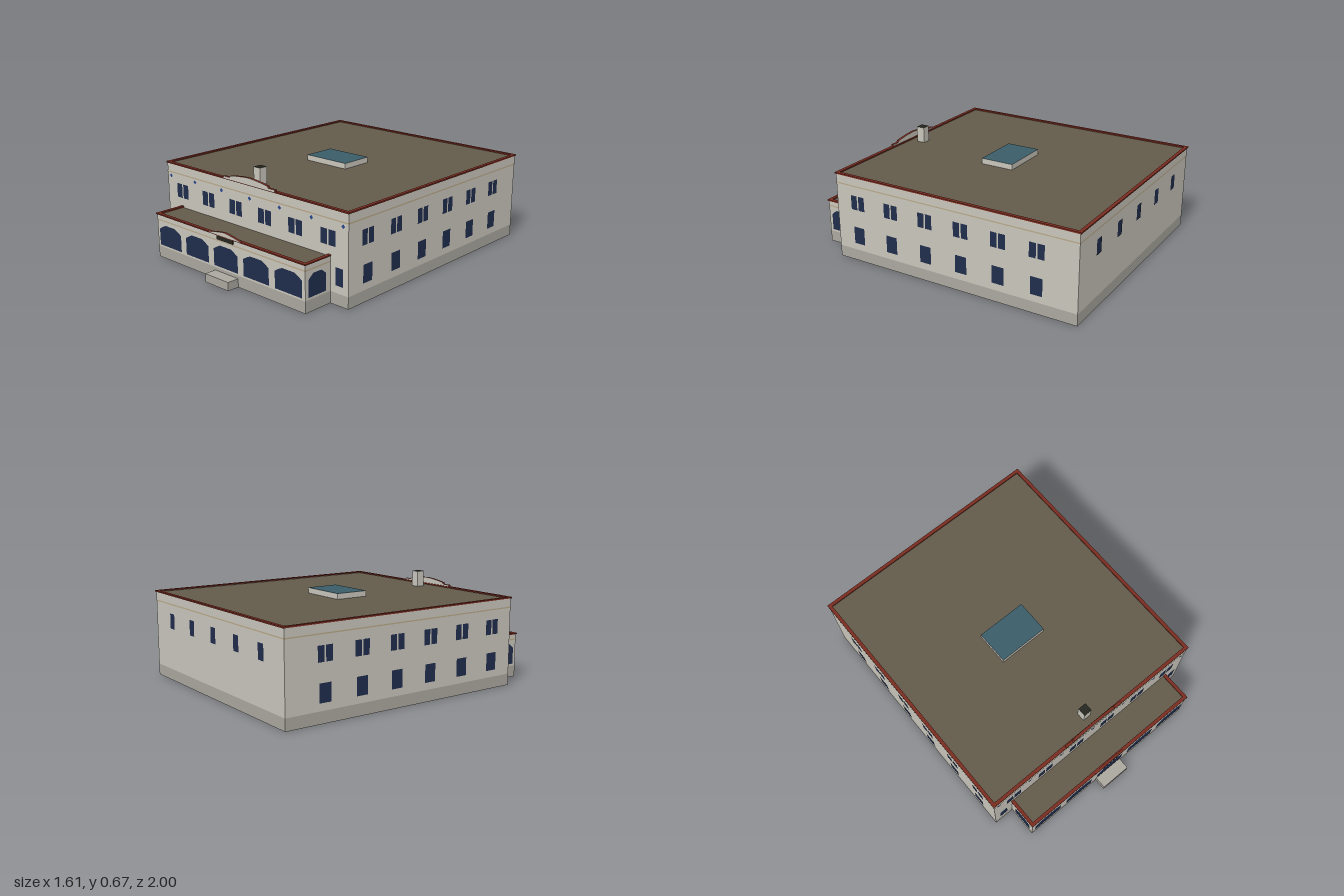
import * as THREE from 'three';

const mat = (color, side = THREE.FrontSide) => new THREE.MeshStandardMaterial({ color, side });
const wallMat = mat(0xc8c5bb, THREE.DoubleSide);
const plinthMat = mat(0xaaa79e, THREE.DoubleSide);
const beltMat = mat(0xb9a888, THREE.DoubleSide);
const roofMat = mat(0x625a4a, THREE.DoubleSide);
const trimMat = mat(0x7a2c20);
const glassMat = mat(0x1f2c4c);
const diamondMat = mat(0x26438c);
const skyMat = mat(0x3a5c68);
const darkMat = mat(0x26261f);

export function createModel() {
  const model = new THREE.Group();

  const add = (name, geo, material, parent = model) => {
    const m = new THREE.Mesh(geo, material);
    m.name = name;
    parent.add(m);
    return m;
  };

  // box given by its limits
  const box = (name, x0, x1, y0, y1, z0, z1, material, parent) => {
    const g = new THREE.BoxGeometry(x1 - x0, y1 - y0, z1 - z0);
    g.translate((x0 + x1) / 2, (y0 + y1) / 2, (z0 + z1) / 2);
    return add(name, g, material, parent);
  };

  // ring of walls without floor or ceiling; openBack also drops the rear wall
  const walls = (name, x, y0, y1, z0, z1, material, openBack = false) => {
    const m = box(name, -x, x, y0, y1, z0, z1, material);
    const idx = Array.from(m.geometry.index.array);
    m.geometry.setIndex([...idx.slice(0, 12), ...idx.slice(24, openBack ? 30 : 36)]);
    m.geometry.clearGroups();
  };

  const flatRoof = (name, x, z0, z1, y) => {
    const g = new THREE.PlaneGeometry(2 * x, z1 - z0).rotateX(-Math.PI / 2);
    add(name, g.translate(0, y, (z0 + z1) / 2), roofMat);
  };

  const polygon = (pts) => new THREE.Shape(pts.map(([x, y]) => new THREE.Vector2(x, y)));

  // flat panel placed on a wall: u runs along the wall
  const panel = (name, group, shape, u, y, material = glassMat) => {
    const m = add(name, new THREE.ShapeGeometry(shape), material, group);
    m.position.set(u, y, 0);
  };
  const rect = (w, h) => polygon([[-w / 2, 0], [w / 2, 0], [w / 2, h], [-w / 2, h]]);
  const arch = (r) => polygon([[-r, 0], [r, 0], [r, 0.108], [r * 0.74, 0.125], [r * 0.44, 0.14],
    [-r * 0.44, 0.14], [-r * 0.74, 0.125], [-r, 0.108]]);

  // group lying just off a wall
  const face = (name, x, z, turn) => {
    const g = new THREE.Group();
    g.name = name;
    g.position.set(x, 0, z);
    g.rotation.y = turn;
    model.add(g);
    return g;
  };

  // main block
  const X = 0.8, ZB = -0.99, ZF = 0.715;
  walls('mainPlinth', X, 0, 0.075, ZB, ZF, plinthMat);
  walls('mainWalls', X, 0.075, 0.57, ZB, ZF, wallMat);
  walls('mainBelt', X + 0.002, 0.508, 0.516, ZB - 0.002, ZF + 0.002, beltMat);
  flatRoof('mainRoof', X, ZB, ZF, 0.565);

  // front wing
  const WX = 0.663, WZ = 0.92;
  walls('wingPlinth', WX, 0, 0.075, ZF, WZ, plinthMat, true);
  walls('wingWalls', WX, 0.075, 0.292, ZF, WZ, wallMat, true);
  walls('wingBelt', WX + 0.002, 0.253, 0.261, ZF, WZ + 0.002, beltMat, true);
  flatRoof('wingRoof', WX, ZF, WZ, 0.287);

  // roof edge trims
  const trim = (name, x, z0, z1, y0, y1, hasBack) => {
    const w = 0.023, g = new THREE.Group();
    g.name = name;
    model.add(g);
    box('frontTrim', -x, x, y0, y1, z1 - w, z1, trimMat, g);
    if (hasBack) box('backTrim', -x, x, y0, y1, z0, z0 + w, trimMat, g);
    for (const s of [-1, 1]) {
      const a = s * x, b = s * (x - w);
      box('sideTrim', Math.min(a, b), Math.max(a, b), y0, y1, hasBack ? z0 + w : z0, z1 - w, trimMat, g);
    }
  };
  trim('mainTrim', X + 0.005, ZB - 0.007, ZF + 0.006, 0.569, 0.578, true);
  trim('wingTrim', WX + 0.006, ZF, WZ + 0.006, 0.29, 0.298, false);

  // raised gables with red coping
  const gable = (name, half, z, depth) => {
    const left = half.map(([x, y]) => [-x, y]).reverse();
    const g = new THREE.ExtrudeGeometry(polygon([...half, ...left]), { depth, bevelEnabled: false });
    add(name, g.translate(0, 0, z), [wallMat, trimMat]);
  };
  gable('mainGable', [[0.228, 0.574], [0.228, 0.588], [0.172, 0.588], [0.165, 0.599],
    [0.11, 0.608], [0.055, 0.614], [0.01, 0.617]], 0.705, 0.018);
  gable('wingGable', [[0.14, 0.295], [0.14, 0.299], [0.08, 0.311], [0.01, 0.321]], 0.912, 0.016);

  // steps, sign board, chimney and skylight
  box('entranceStep', -0.104, 0.104, 0, 0.055, WZ, 1.0, plinthMat);
  box('signBoard', -0.073, 0.073, 0.264, 0.29, WZ, WZ + 0.006, darkMat);
  box('chimney', -0.028, 0.028, 0.56, 0.67, 0.595, 0.652,
    [wallMat, wallMat, darkMat, wallMat, wallMat, wallMat]);
  box('skylight', -0.168, 0.168, 0.56, 0.602, -0.19, 0.035,
    [wallMat, wallMat, skyMat, wallMat, wallMat, wallMat]);

  // front openings and diamond ornaments
  const front = face('frontOpenings', 0, ZF + 0.003, 0);
  for (const c of [-0.647, -0.388, -0.13, 0.13, 0.388, 0.647])
    for (const s of [-1, 1]) panel('upperWindow', front, rect(0.051, 0.094), c + s * 0.031, 0.353);
  for (const s of [-1, 1]) panel('lowerWindow', front, rect(0.056, 0.11), s * 0.733, 0.123);
  const diamond = polygon([[0, -0.014], [0.014, 0], [0, 0.014], [-0.014, 0]]);
  for (const x of [-0.762, -0.518, -0.259, 0, 0.259, 0.518, 0.762])
    panel('diamond', front, diamond, x, 0.487, diamondMat);

  // wing arches
  const wingFront = face('wingFrontOpenings', 0, WZ + 0.003, 0);
  for (let i = -2; i <= 2; i++) panel('archedOpening', wingFront, arch(0.108), i * 0.266, 0.088);

  // both sides
  for (const s of [-1, 1]) {
    const side = face('sideOpenings', s * (X + 0.003), 0, s * Math.PI / 2);
    for (let i = 0; i < 6; i++) {
      const u = -s * (0.551 - i * 0.2555);
      for (const k of [-1, 1]) panel('upperWindow', side, rect(0.045, 0.095), u + k * 0.028, 0.353);
      panel('lowerWindow', side, rect(0.08, 0.114), u, 0.121);
    }
    const wingSide = face('wingSideOpening', s * (WX + 0.003), 0, s * Math.PI / 2);
    panel('archedOpening', wingSide, arch(0.071), -s * 0.825, 0.09);
  }

  // back windows
  const back = face('backOpenings', 0, ZB - 0.003, Math.PI);
  for (let i = -2; i <= 2; i++) panel('backWindow', back, rect(0.06, 0.1), i * 0.28, 0.35);

  return model;
}
